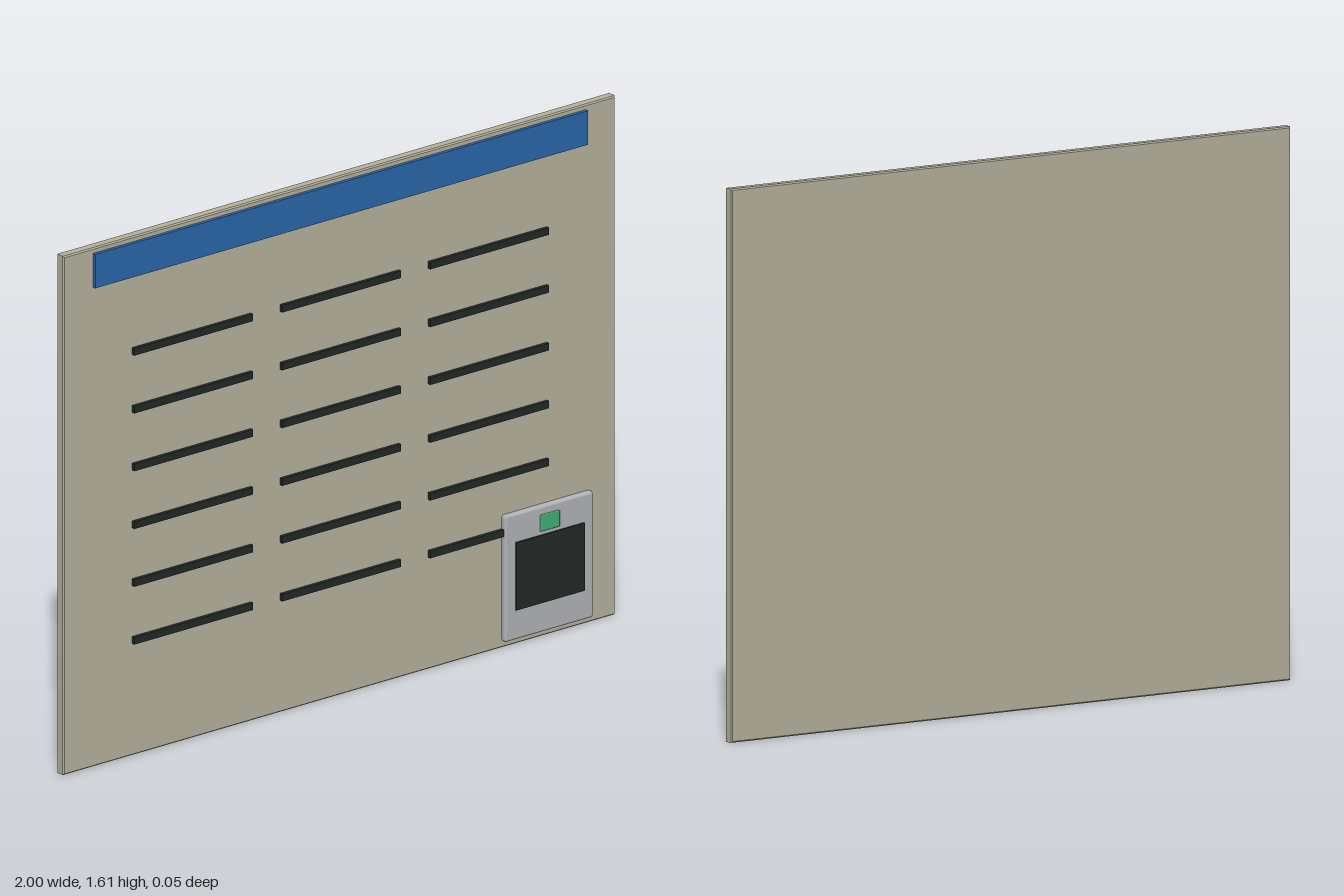
import * as THREE from 'three';
import { RoundedBoxGeometry } from 'three/addons/geometries/RoundedBoxGeometry.js';

const paint = (color) => new THREE.MeshStandardMaterial({ color });

export function createModel() {
  const model = new THREE.Group();
  const beige = paint(0xb5b09c);
  const blue = paint(0x2a66a8);
  const dark = paint(0x222827);
  const grey = paint(0xb0b2b5);
  const green = paint(0x3fae72);

  function add(name, geometry, material, x = 0, y = 0, z = 0) {
    const mesh = new THREE.Mesh(geometry, material);
    mesh.name = name;
    mesh.position.set(x, y, z);
    model.add(mesh);
  }

  // Box given by its limits on each axis, optionally with rounded edges
  function block(name, material, [x0, x1], [y0, y1], [z0, z1], radius = 0) {
    const size = [x1 - x0, y1 - y0, z1 - z0];
    const geometry = radius
      ? new RoundedBoxGeometry(...size, 3, radius)
      : new THREE.BoxGeometry(...size);
    add(name, geometry, material, (x0 + x1) / 2, (y0 + y1) / 2, (z0 + z1) / 2);
  }

  // Flat panel with fine chamfered edges
  const w = 1, h = 1.607, c = 0.004;
  const outline = new THREE.Shape([
    new THREE.Vector2(-w + c, c),
    new THREE.Vector2(w - c, c),
    new THREE.Vector2(w - c, h - c),
    new THREE.Vector2(-w + c, h - c),
  ]);
  const panel = new THREE.ExtrudeGeometry(outline, {
    depth: 0.032 - 2 * c, bevelEnabled: true, bevelSize: c, bevelThickness: c, bevelSegments: 1,
  });
  add('panel', panel, beige, 0, 0, -0.027 + c);

  // Header strip
  block('headerStrip', blue, [-0.893, 0.893], [1.486, 1.591], [0, 0.016]);

  // Three columns of six slots
  for (let row = 0; row < 6; row++) {
    for (let col = -1; col <= 1; col++) {
      const x = col * 0.536, y = 0.358 + row * 0.179;
      block('slot', dark, [x - 0.215, x + 0.215], [y - 0.011, y + 0.011], [0, 0.016]);
    }
  }

  // Control unit with screen and button, set through the panel
  block('controlUnit', grey, [0.588, 0.908], [0.02, 0.411], [-0.0268, 0.022], 0.008);
  block('screen', dark, [0.624, 0.872], [0.113, 0.323], [0.015, 0.027]);
  block('button', green, [0.713, 0.783], [0.334, 0.385], [0.015, 0.027], 0.003);

  return model;
}
